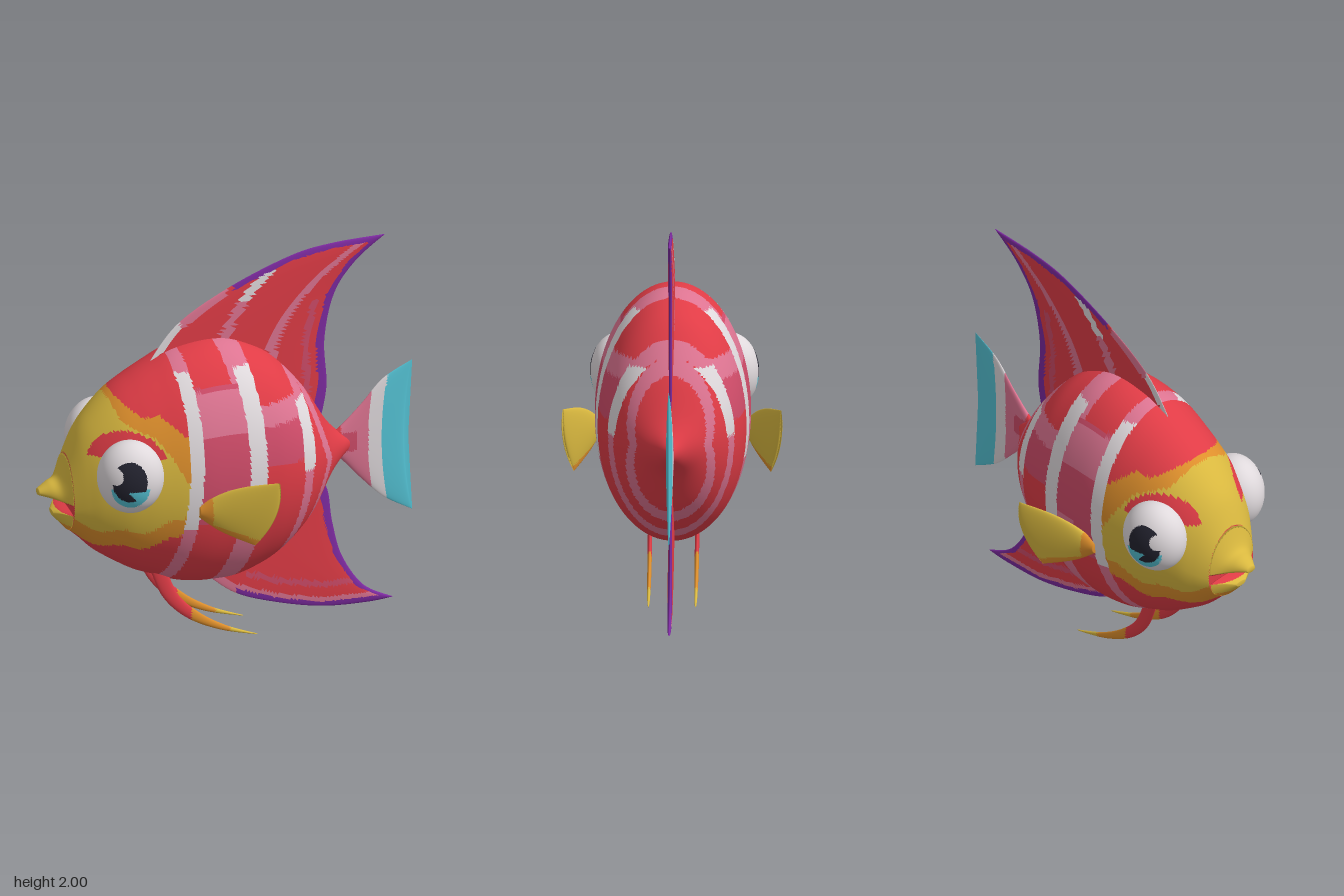
import * as THREE from 'three';

const names = ['red', 'yellow', 'orange', 'white', 'pink', 'rose', 'purple', 'cyan', 'black'];
const hex = [0xe03c46, 0xd9b83f, 0xde8f2c, 0xdfd9dc, 0xdd7491, 0xcf4c69, 0x7d2aa0, 0x55c4d6, 0x23232f];
const [RED, YELLOW, ORANGE, WHITE, PINK, ROSE, PURPLE, CYAN, BLACK] = hex.map((_, i) => i);

// Sorts triangles into material groups by a colour rule on their centres
function paint(geo, rule) {
  const p = geo.attributes.position, idx = geo.index.array, bins = hex.map(() => []);
  for (let i = 0; i < idx.length; i += 3) {
    const t = [idx[i], idx[i + 1], idx[i + 2]];
    const mean = (f) => (f(t[0]) + f(t[1]) + f(t[2])) / 3;
    bins[rule(mean((k) => p.getX(k)), mean((k) => p.getY(k)), mean((k) => p.getZ(k)))].push(...t);
  }
  geo.setIndex(bins.flat());
  geo.clearGroups();
  let start = 0;
  bins.forEach((b, i) => {
    if (b.length) geo.addGroup(start, b.length, i);
    start += b.length;
  });
  return geo;
}

// Closed skin over rings of points, capped at both ends
function skin(rings) {
  const m = rings[0].length;
  const cap = (r) => {
    const c = r.reduce((s, v) => s.add(v), new THREE.Vector3()).divideScalar(m);
    return r.map(() => c);
  };
  const all = [cap(rings[0]), ...rings, cap(rings[rings.length - 1])];
  const index = [];
  for (let i = 0; i < all.length - 1; i++) {
    for (let j = 0; j < m; j++) {
      const a = i * m + j, b = i * m + (j + 1) % m;
      index.push(a, a + m, b, b, a + m, b + m);
    }
  }
  const geo = new THREE.BufferGeometry().setFromPoints(all.flat());
  geo.setIndex(index);
  geo.computeVertexNormals();
  return geo;
}

// Loft along x; rows are [x, top, middle, bottom, half width]
function loft(rows, n, m) {
  const curves = [1, 2, 3, 4].map((k) => new THREE.SplineCurve(rows.map((r) => new THREE.Vector2(r[0], r[k]))));
  const rings = [];
  for (let i = 0; i <= n; i++) {
    const [top, mid, bot, wid] = curves.map((c) => c.getPoint(i / n));
    rings.push(Array.from({ length: m }, (_, j) => {
      const a = j / m * Math.PI * 2, s = Math.sin(a);
      const y = mid.y + s * (s > 0 ? top.y - mid.y : mid.y - bot.y);
      return new THREE.Vector3(top.x, y, wid.y * Math.cos(a));
    }));
  }
  return skin(rings);
}

// Lens-thick fin between two edge curves; the rule gets u across and t along
function fin(upper, lower, thick, rule, { bow = 0, z = () => 0, n = 60, m = 64 } = {}) {
  const [A, B] = [upper, lower].map((e) => new THREE.SplineCurve(e.map((q) => new THREE.Vector2(...q))));
  const rings = [], uv = [];
  for (let i = 0; i <= n; i++) {
    const t = i / n, a = A.getPoint(t), b = B.getPoint(t);
    rings.push(Array.from({ length: m }, (_, j) => {
      const g = j / m * Math.PI * 2, u = (1 - Math.cos(g)) / 2;
      const x = a.x + (b.x - a.x) * u + bow * 4 * u * (1 - u) * t;
      const h = thick * Math.sqrt(1.01 - t ** 4);
      return new THREE.Vector3(x, a.y + (b.y - a.y) * u, -h * Math.sin(g) + z(x));
    }));
  }
  return paint(skin(rings), rule);
}

// Straight interpolation through a short list of [x, y]
function line(pts, x) {
  if (x <= pts[0][0]) return pts[0][1];
  for (let i = 1; i < pts.length; i++) {
    const [x0, y0] = pts[i - 1], [x1, y1] = pts[i];
    if (x <= x1) return y0 + (y1 - y0) * (x - x0) / (x1 - x0);
  }
  return pts[pts.length - 1][1];
}

const near = (a, b, w) => Math.abs(a - b) < w;

// Face mask, stripes and patches of the body
function bodyColour(x, y) {
  if (x < -0.828) return RED;
  const eye = Math.hypot((x + 0.585) / 0.17, (y - 1.02) / 0.19);
  if (eye < 1.13 && y > 1.1) return RED;
  const s1 = -0.265 - 0.17 * (y - 1.15) ** 2;
  if (near(x, s1, 0.034)) return y > 0.72 && y < 1.48 ? WHITE : PINK;
  if (x < s1) return faceColour(x, y);
  const s2 = 0.05 - 0.2 * (y - 1.05) ** 2;
  if (near(x, s2, 0.045)) return y > 0.74 && y < 1.48 ? WHITE : PINK;
  if (x < s2) {
    if (y > 1.42 || y < 0.74) return near(x, s2 - 0.06, 0.015) ? PINK : RED;
    return y > 1.2 && y < 1.4 || y < 0.92 && x > -0.12 ? PINK : ROSE;
  }
  const s3 = 0.335 - 0.3 * (y - 1.02) ** 2;
  if (near(x, s3, 0.033) && y > 0.93 && y < 1.27) return WHITE;
  if (near(x, s3, 0.025)) return PINK;
  if (x < s3) return y > 1 && y < 1.3 ? (y > 1.2 ? PINK : ROSE) : RED;
  return near(x, 0.47 - 0.3 * Math.abs(y - 0.92), 0.018) ? PINK : RED;
}

function faceColour(x, y) {
  const wave = 0.015 * Math.sin(x * 28);
  const low = 0.615 + 0.9 * (x + 0.62) ** 2 + wave;
  const orangeTop = line([[-0.64, 1.5], [-0.6, 1.36], [-0.5, 1.29], [-0.43, 1.31], [-0.3, 1.2]], x);
  const yellowTop = line([[-0.68, 1.5], [-0.6, 1.27], [-0.45, 1.2], [-0.38, 1.1], [-0.3, 0.95]], x);
  if (y < low || (x > -0.64 && y > orangeTop)) return RED;
  return y < low + 0.1 || (x > -0.68 && y > yellowTop) ? ORANGE : YELLOW;
}

export function createModel() {
  const group = new THREE.Group();
  const materials = hex.map((color, i) => {
    const mat = new THREE.MeshStandardMaterial({ color });
    mat.name = names[i];
    return mat;
  });
  const add = (name, geo) => {
    const mesh = new THREE.Mesh(geo, materials);
    mesh.name = name;
    group.add(mesh);
    return mesh;
  };

  // Body and lips
  add('body', paint(loft([
    [-0.83, 1.05, 0.81, 0.665, 0.15], [-0.77, 1.18, 0.84, 0.61, 0.2], [-0.7, 1.27, 0.88, 0.54, 0.25],
    [-0.6, 1.365, 0.91, 0.47, 0.3], [-0.5, 1.43, 0.92, 0.41, 0.33], [-0.4, 1.485, 0.92, 0.37, 0.352],
    [-0.3, 1.535, 0.92, 0.33, 0.37], [-0.2, 1.56, 0.92, 0.31, 0.38], [-0.1, 1.57, 0.92, 0.305, 0.38],
    [0, 1.56, 0.92, 0.31, 0.375], [0.1, 1.52, 0.92, 0.34, 0.362], [0.2, 1.46, 0.92, 0.39, 0.345],
    [0.3, 1.36, 0.92, 0.47, 0.31], [0.4, 1.23, 0.92, 0.585, 0.25], [0.5, 1.06, 0.915, 0.76, 0.15],
    [0.57, 0.98, 0.91, 0.835, 0.07], [0.64, 0.93, 0.91, 0.89, 0.008]], 160, 128), bodyColour));
  add('upperLip', paint(loft([[-0.97, 0.885, 0.87, 0.855, 0.025], [-0.92, 0.915, 0.865, 0.84, 0.06],
    [-0.87, 0.945, 0.85, 0.825, 0.1], [-0.83, 1.05, 0.84, 0.81, 0.15]], 20, 40),
  (x, y) => (y < 0.838 ? RED : YELLOW)));
  add('lowerLip', paint(loft([[-0.9, 0.765, 0.755, 0.74, 0.03], [-0.87, 0.78, 0.77, 0.705, 0.08],
    [-0.83, 0.79, 0.775, 0.66, 0.14]], 20, 40),
  (x, y) => (y > 0.776 ? RED : y > 0.71 ? YELLOW : ORANGE)));

  // Dorsal fin
  add('dorsalFin', fin(
    [[-0.42, 1.45], [-0.26, 1.66], [0, 1.82], [0.32, 1.95], [0.54, 1.99], [0.81, 2]],
    [[0.46, 0.98], [0.51, 1.22], [0.5, 1.48], [0.55, 1.72], [0.66, 1.88], [0.81, 2]], 0.014,
    (x, y) => {
      const back = line([[1.0, 0.46], [1.22, 0.51], [1.48, 0.5], [1.72, 0.55], [1.88, 0.66], [2, 0.81]], y);
      const top = line([[-0.42, 1.45], [-0.26, 1.66], [0, 1.82], [0.32, 1.95], [0.54, 1.99], [0.81, 2]], x);
      if (x > back - 0.045 || (x > 0.03 && y > top - 0.025)) return PURPLE;
      if (near(x, -0.03 + 1.3 * (y - 1.45) ** 2, 0.03)) return y > 1.74 ? WHITE : PINK;
      if (near(x, 0.22 + 1.4 * (y - 1.4) ** 2, 0.025)) return PINK;
      if (x < 0 && y > top - 0.04) return x < -0.24 ? WHITE : PINK;
      return near(x, back - 0.1, 0.018) && y < 1.7 ? ROSE : RED;
    }));

  // Anal fin
  add('analFin', fin(
    [[0.42, 0.8], [0.51, 0.69], [0.54, 0.5], [0.59, 0.31], [0.7, 0.14], [0.85, 0.055]],
    [[-0.12, 0.32], [0.04, 0.19], [0.25, 0.11], [0.49, 0.055], [0.72, 0.045], [0.85, 0.055]], 0.014,
    (x, y) => {
      const back = line([[0.055, 0.85], [0.14, 0.7], [0.31, 0.59], [0.5, 0.54], [0.69, 0.51]], y);
      const under = line([[-0.12, 0.32], [0.04, 0.19], [0.25, 0.11], [0.49, 0.055], [0.85, 0.05]], x);
      if (x > back - 0.04 || (x > 0.05 && y < under + 0.025)) return PURPLE;
      if (y < under + 0.05) return PINK;
      return near(y, under + 0.12, 0.015) && x > 0.1 ? ROSE : RED;
    }));

  // Tail fin
  add('tailFin', fin(
    [[0.45, 0.95], [0.55, 0.98], [0.68, 1.1], [0.8, 1.23], [0.95, 1.31]],
    [[0.45, 0.88], [0.55, 0.86], [0.68, 0.72], [0.8, 0.6], [0.95, 0.51]], 0.02,
    (x, y) => {
      const e = x - 0.3 * (y - 0.91) ** 2;
      if (e > 0.79) return CYAN;
      if (e > 0.72) return WHITE;
      return e < 0.58 ? RED : near(y, 0.92, 0.05) && e < 0.66 ? ROSE : PINK;
    }, { bow: -0.04 }));

  for (const s of [1, -1]) {
    const side = s > 0 ? 'front' : 'back';

    // Pectoral fin, sweeping outwards
    add(side + 'PectoralFin', fin(
      [[-0.26, 0.85], [-0.16, 0.92], [-0.05, 0.965], [0.1, 0.995]],
      [[-0.26, 0.79], [-0.18, 0.73], [-0.1, 0.69], [-0.01, 0.655]], 0.026,
      (x, y) => (x < -0.2 || y < 0.715 - 0.35 * (x + 0.08) ? ORANGE : YELLOW),
      { bow: 0.04, z: (x) => s * (0.36 + (x + 0.26) * 0.48), n: 40, m: 48 }));

    // Trailing pelvic fin
    add(side + 'PelvicFin', fin(
      [[-0.36, 0.46], [-0.29, 0.28], [-0.18, 0.165], [-0.04, 0.075], [0.12, 0.008]],
      [[-0.44, 0.46], [-0.37, 0.28], [-0.25, 0.15], [-0.08, 0.06], [0.12, 0.004]], 0.011,
      (x) => (x < -0.22 ? RED : x < -0.02 ? ORANGE : YELLOW), { z: () => s * 0.115, n: 40, m: 16 }));

    // Eye with iris, pupil and glint painted on a squashed ball
    const ball = new THREE.SphereGeometry(1, 96, 72).rotateX(Math.PI / 2);
    const eye = add(side + 'Eye', paint(ball, (x, y) => {
      if (Math.hypot(x + 0.46, y - 0.26) < 0.23) return WHITE;
      if (Math.hypot(x + 0.04, (y - 0.1) / 1.05) < 0.52) return y < -0.15 && x > -0.1 - (y + 0.15) ? CYAN : BLACK;
      return Math.hypot(x + 0.02, y + 0.06) < 0.58 && y < -0.1 ? CYAN : WHITE;
    }));
    eye.scale.set(0.165, 0.187, 0.14);
    eye.position.set(-0.58, 1.015, s * 0.27);
    eye.rotation.y = -s * 0.28;
  }
  return group;
}
